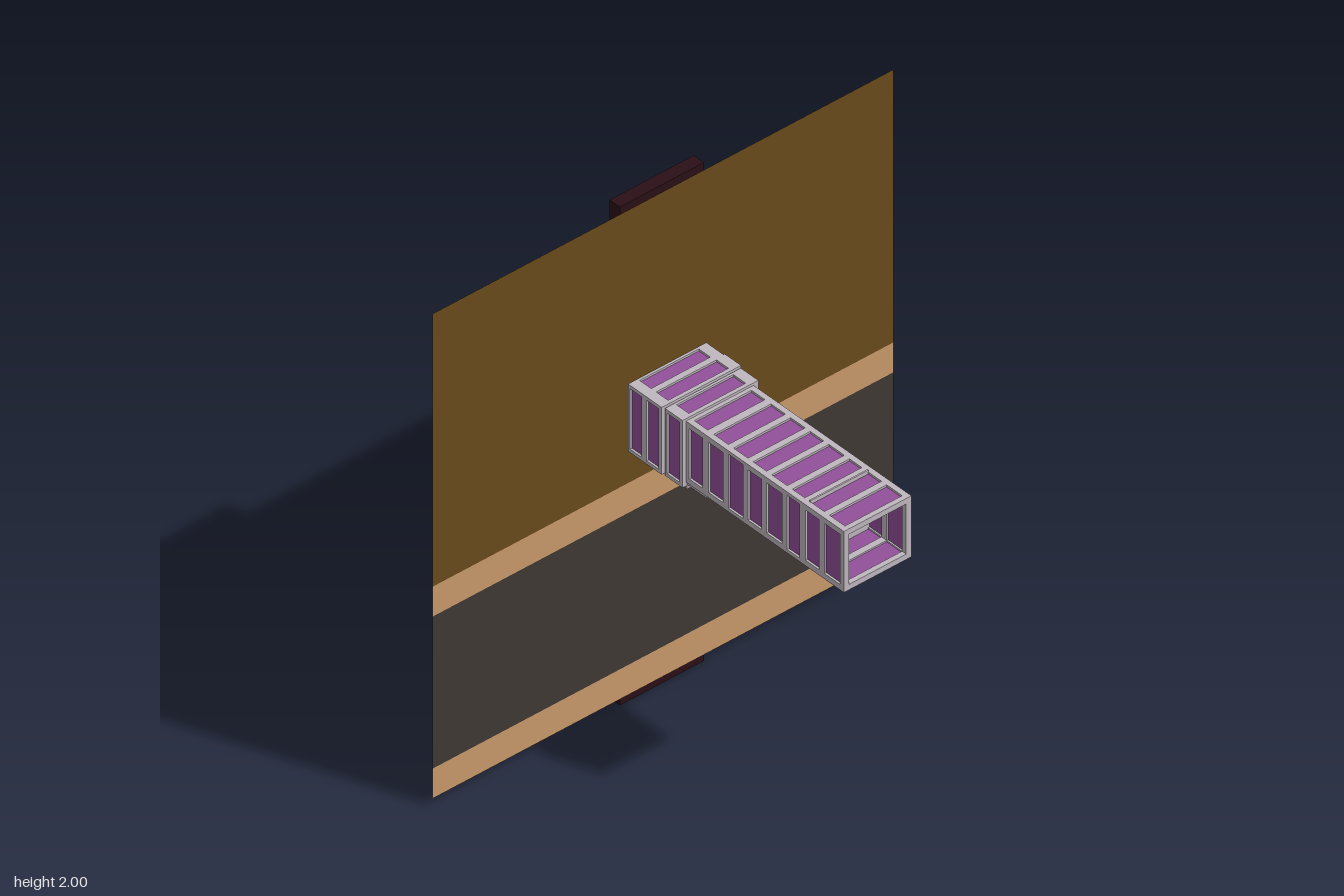
import * as THREE from 'three';

const mat = (color) => new THREE.MeshStandardMaterial({ color, side: THREE.DoubleSide });
const grey = mat(0xbfb8bf), purple = mat(0x92509a), dark = mat(0x2a0f16);

// Box given by its two extreme corners
function block(parent, name, material, x0, x1, y0, y1, z0, z1) {
  const mesh = new THREE.Mesh(new THREE.BoxGeometry(x1 - x0, y1 - y0, z1 - z0), material);
  mesh.position.set((x0 + x1) / 2, (y0 + y1) / 2, (z0 + z1) / 2);
  mesh.name = name;
  parent.add(mesh);
}

// Rectangular sleeve: outer limits, side wall tx, top and bottom wall ty
function sleeve(parent, name, material, [x0, x1, y0, y1], tx, ty, z0, z1) {
  const rect = (P, a, b, c, d) =>
    new P([[a, c], [b, c], [b, d], [a, d]].map(([x, y]) => new THREE.Vector2(x, y)));
  const shape = rect(THREE.Shape, x0, x1, y0, y1);
  shape.holes.push(rect(THREE.Path, x0 + tx, x1 - tx, y0 + ty, y1 - ty));
  const mesh = new THREE.Mesh(
    new THREE.ExtrudeGeometry(shape, { depth: z1 - z0, bevelEnabled: false }), material);
  mesh.position.z = z0;
  mesh.name = name;
  parent.add(mesh);
}

// One bay: end rings, four corner rails and an inset coloured sleeve
function bay(parent, lim, z0, z1, p0, p1, railX, railY) {
  const g = new THREE.Group();
  g.name = 'bay';
  const [x0, x1, y0, y1] = lim, inset = 0.008;
  sleeve(g, 'ring', grey, lim, 0.022, 0.022, z0, p0);
  sleeve(g, 'ring', grey, lim, 0.022, 0.022, p1, z1);
  for (const x of [x0, x1 - railX])
    for (const y of [y0, y1 - railY])
      block(g, 'cornerRail', grey, x, x + railX, y, y + railY, p0, p1);
  sleeve(g, 'bayPanels', purple, [x0 + inset, x1 - inset, y0 + inset, y1 - inset], 0.008, 0.008, p0, p1);
  parent.add(g);
}

export function createModel() {
  const model = new THREE.Group();
  model.name = 'wallWithBeam';

  // Upright post behind the wall
  block(model, 'post', dark, -0.18, 0.175, 0, 2, -0.545, -0.495);

  // Thin wall in horizontal bands
  const bands = [
    ['lowerTrim', 0.03, 0.15, 0xc8996b],
    ['darkBand', 0.15, 0.76, 0x403835],
    ['upperTrim', 0.76, 0.88, 0xc8996b],
    ['upperWall', 0.88, 1.975, 0x6a4a1a],
  ];
  for (const [name, y0, y1, color] of bands) {
    const mesh = new THREE.Mesh(new THREE.PlaneGeometry(1.945, y1 - y0), mat(color));
    mesh.position.set(-0.002, (y0 + y1) / 2, -0.49);
    mesh.name = name;
    model.add(mesh);
  }

  // Long hollow beam: panel limits of each bay, front to back
  const beam = new THREE.Group();
  beam.name = 'beam';
  model.add(beam);
  const lim = [-0.14, 0.145, 1.035, 1.28];
  const spans = [[0.45, 0.525], [0.36, 0.425], [0.27, 0.33], [0.17, 0.245], [0.08, 0.145],
    [-0.015, 0.055], [-0.11, -0.04], [-0.205, -0.14]];
  spans.forEach(([p0, p1], i) => {
    const z1 = i === 0 ? 0.545 : (p1 + spans[i - 1][0]) / 2;
    const z0 = i === spans.length - 1 ? -0.225 : (p0 + spans[i + 1][1]) / 2;
    const tall = i === 2 || i === 5;
    bay(beam, lim, z0, z1, p0, p1, 0.022, tall ? 0.014 : 0.022);
  });

  // Partition and shelf inside the open front
  block(beam, 'partition', grey, -0.12, 0.125, 1.03, 1.287, 0.355, 0.361);
  block(beam, 'shelf', purple, -0.12, 0.12, 1.145, 1.158, 0.361, 0.43);

  // Wider root bays against the wall
  const roots = [
    [-0.155, 0.165, -0.305, -0.22, -0.295, -0.235, 1.005],
    [-0.16, 0.175, -0.395, -0.315, -0.388, -0.33, 1.0],
    [-0.16, 0.17, -0.478, -0.395, -0.468, -0.412, 1.0],
  ];
  for (const [x0, x1, z0, z1, p0, p1, foot] of roots) {
    bay(beam, [x0, x1, 1.02, 1.29], z0, z1, p0, p1, 0.04, 0.014);
    block(beam, 'footPlate', grey, -0.135, 0.13, foot, 1.022, z0, z1);
  }
  block(beam, 'rootLip', grey, -0.135, 0.13, 1.022, 1.036, -0.22, -0.125);

  return model;
}
